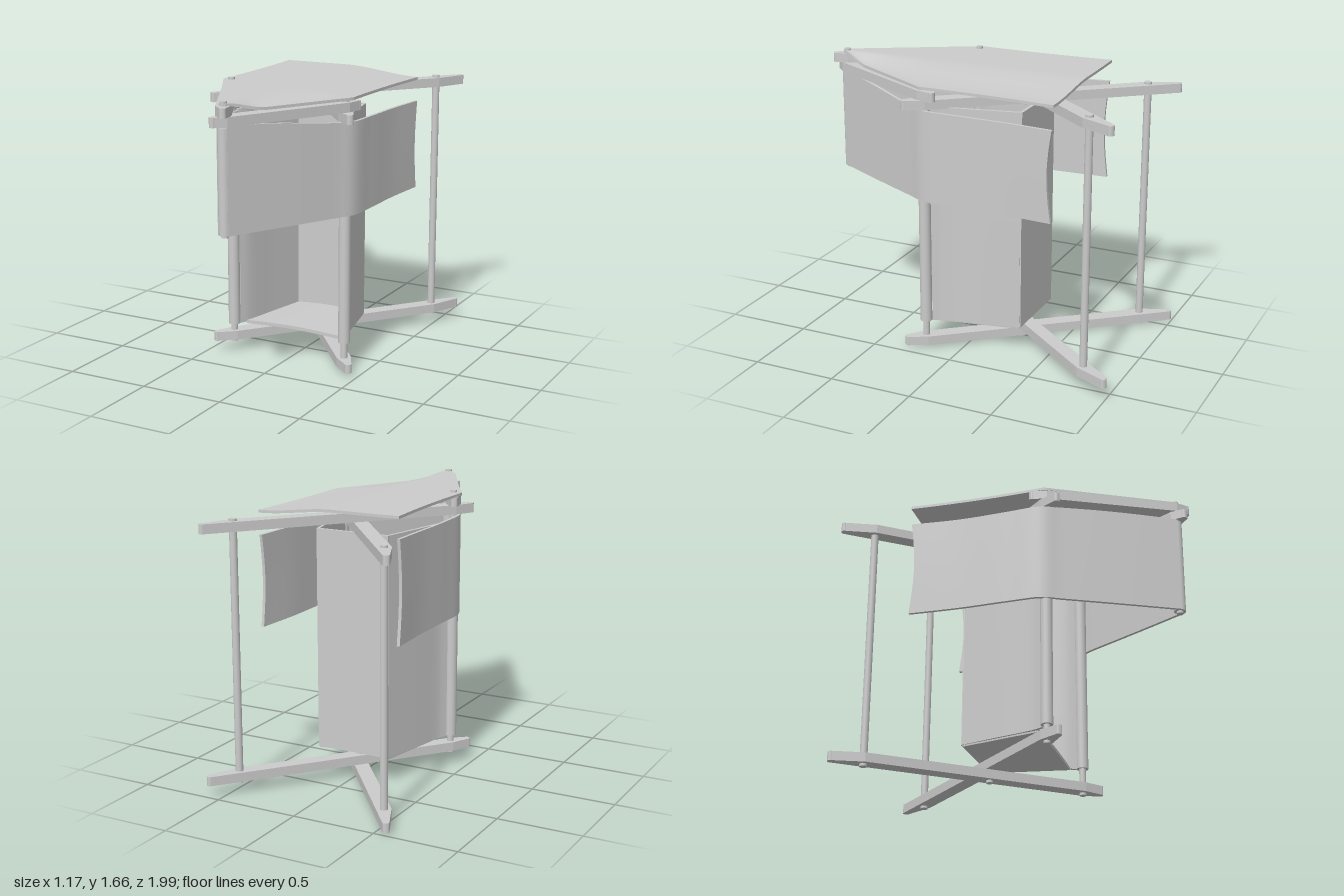
import * as THREE from 'three';

const material = new THREE.MeshStandardMaterial({ color: 0xcccccc, side: THREE.DoubleSide });
const smooth = THREE.MathUtils.smoothstep;
const lerp = THREE.MathUtils.lerp;

// Thin cloth slab following the surface f(u, v) -> Vector3
function sheet(f, thickness, nu, nv) {
  const geo = new THREE.BoxGeometry(1, 1, 1, nu, nv, 1);
  const pos = geo.attributes.position;
  const e = 1e-3;
  for (let i = 0; i < pos.count; i++) {
    const u = pos.getX(i) + 0.5, v = pos.getY(i) + 0.5;
    const p = f(u, v);
    const du = f(Math.min(u + e, 1), v).sub(f(Math.max(u - e, 0), v));
    const dv = f(u, Math.min(v + e, 1)).sub(f(u, Math.max(v - e, 0)));
    p.addScaledVector(du.cross(dv).normalize(), pos.getZ(i) * thickness);
    pos.setXYZ(i, p.x, p.y, p.z);
  }
  geo.computeVertexNormals();
  return geo;
}

// Vertical round bar
function rod(x, z, y0, y1, r) {
  return new THREE.CylinderGeometry(r, r, y1 - y0, 20).translate(x, (y0 + y1) / 2, z);
}

// Flat bar between two post centres, with tapered rounded ends.
// skew shifts the far tip sideways so one edge stays straight.
function beam(a, b, y, startLength, endLength, skew) {
  const [dx, dz] = [b[0] - a[0], b[1] - a[1]];
  const L = Math.hypot(dx, dz), w = 0.043, t = 0.02, c = 0.02;
  const s = -startLength, e = L + endLength, o = skew * (w - t);
  const shape = new THREE.Shape();
  shape.moveTo(0, -w);
  shape.lineTo(L, -w);
  shape.lineTo(e - c, o - t);
  shape.quadraticCurveTo(e, o - t, e, o);
  shape.quadraticCurveTo(e, o + t, e - c, o + t);
  shape.lineTo(L, w);
  shape.lineTo(0, w);
  shape.lineTo(s + c, t);
  shape.quadraticCurveTo(s, t, s, 0);
  shape.quadraticCurveTo(s, -t, s + c, -t);
  shape.closePath();
  return new THREE.ExtrudeGeometry(shape, { depth: 0.055, bevelEnabled: false, curveSegments: 6 })
    .rotateX(-Math.PI / 2)
    .rotateY(Math.atan2(-dz, dx))
    .translate(a[0], y, a[1]);
}

const path = (points) => new THREE.CatmullRomCurve3(points.map(([x, z]) => new THREE.Vector3(x, 0, z)));

export function createModel() {
  const group = new THREE.Group();
  const add = (name, geo) => {
    const mesh = new THREE.Mesh(geo, material);
    mesh.name = name;
    group.add(mesh);
  };

  const apex = [0, 0.915];
  const wrapPath = path([[0.025, 0.93], [0.2, 0.605], [0.36, 0.3], [0.412, 0.2], [0.42, 0], [0.42, -0.3], [0.437, -0.6]]);
  const wallPath = path([[0.35, 0.185], [0.325, 0.13], [0.275, -0.1], [0.225, -0.325]]);

  for (const s of [1, -1]) {
    const side = s > 0 ? 'left' : 'right';
    const lift = s > 0 ? 0 : 0.055; // the second set of bars lies on the first
    const front = [s * 0.37, 0.215], rear = [-s * 0.47, -0.825];

    // Crossing bars at floor and roof, and the bars to the front point
    add(side + 'FloorBeam', beam(front, rear, 0.02 + lift, 0.128, 0.2, -s));
    add(side + 'RoofBeam', beam(front, rear, 1.475 + lift, 0.128, 0.2, -s));
    add(side + 'FrontBeam', beam(front, apex, 1.53 + lift, 0.1, 0.085, 0));

    // Posts
    add(side + 'FrontPost', rod(...front, 0.005 + lift, 1.613 + lift, 0.02));
    add(side + 'RearPost', rod(...rear, 0.005 + lift, 1.543 + lift, 0.022));
    add(side + 'PostSleeve', rod(...front, 0.17, 1.47, 0.035));

    // Outer cloth: slanted front panel running on into a loose side flap
    add(side + 'OuterCloth', sheet((u, v) => {
      const p = wrapPath.getPointAt(u);
      const top = s > 0
        ? 1.53 - 0.05 * smooth(u, 0.08, 0.5) - 0.01 * u
        : 1.53 + 0.008 * Math.sin(u * Math.PI * 2);
      const ripple = 0.025 * Math.sin(Math.PI * v) * smooth(u, 0.6, 1);
      return new THREE.Vector3(s * p.x, lerp(0.935, top, v), p.z + ripple);
    }, 0.018, 60, 10));

    // Inner side wall
    add(side + 'InnerWall', sheet((u, v) => {
      const p = wallPath.getPointAt(u);
      return new THREE.Vector3(s * p.x, lerp(0.165, 1.48, v), p.z);
    }, 0.018, 24, 4));
  }

  // Front point post with its cloth sleeve
  add('apexPost', rod(...apex, 0.92, 1.665, 0.02));
  add('apexSleeve', rod(...apex, 0.935, 1.525, 0.035));

  // Pins where the bars cross
  add('floorPin', rod(0, -0.24, 0.005, 0.145, 0.02));
  add('roofPin', rod(0, -0.24, 1.46, 1.6, 0.02));

  // Inner back wall and floor
  add('innerBackWall', sheet((u, v) =>
    new THREE.Vector3(lerp(0.232, -0.232, u), lerp(0.165, 1.48, v), -0.325), 0.018, 8, 4));
  add('innerFloor', sheet((u, v) => {
    const half = lerp(0.322, 0.23, v);
    return new THREE.Vector3(lerp(-half, half, u), 0.165 + 0.012 * Math.sin(Math.PI * u), lerp(0.15, -0.325, v));
  }, 0.02, 16, 8));

  // Roof cloth: pointed at the front, sagging toward the lower set of bars
  add('roofCloth', sheet((u, v) => {
    const z = lerp(0.93, -0.615, v), k = 2 * u - 1;
    const half = z > 0.22 ? 0.02 + 0.4 * (0.93 - z) / 0.71 : 0.418 + 0.024 * (z / 0.6) ** 2;
    const sag = 0.042 * smooth(k, -0.1, 1) * smooth(z, 0.93, 0.931) ;
    const droop = 0.042 * smooth(k, -0.1, 1) * smooth(0.93 - z, 0, 0.22) - sag;
    return new THREE.Vector3(k * half, 1.647 - droop, z + 0.008 * k * k * smooth(v, 0.8, 1));
  }, 0.016, 32, 50));

  return group;
}
